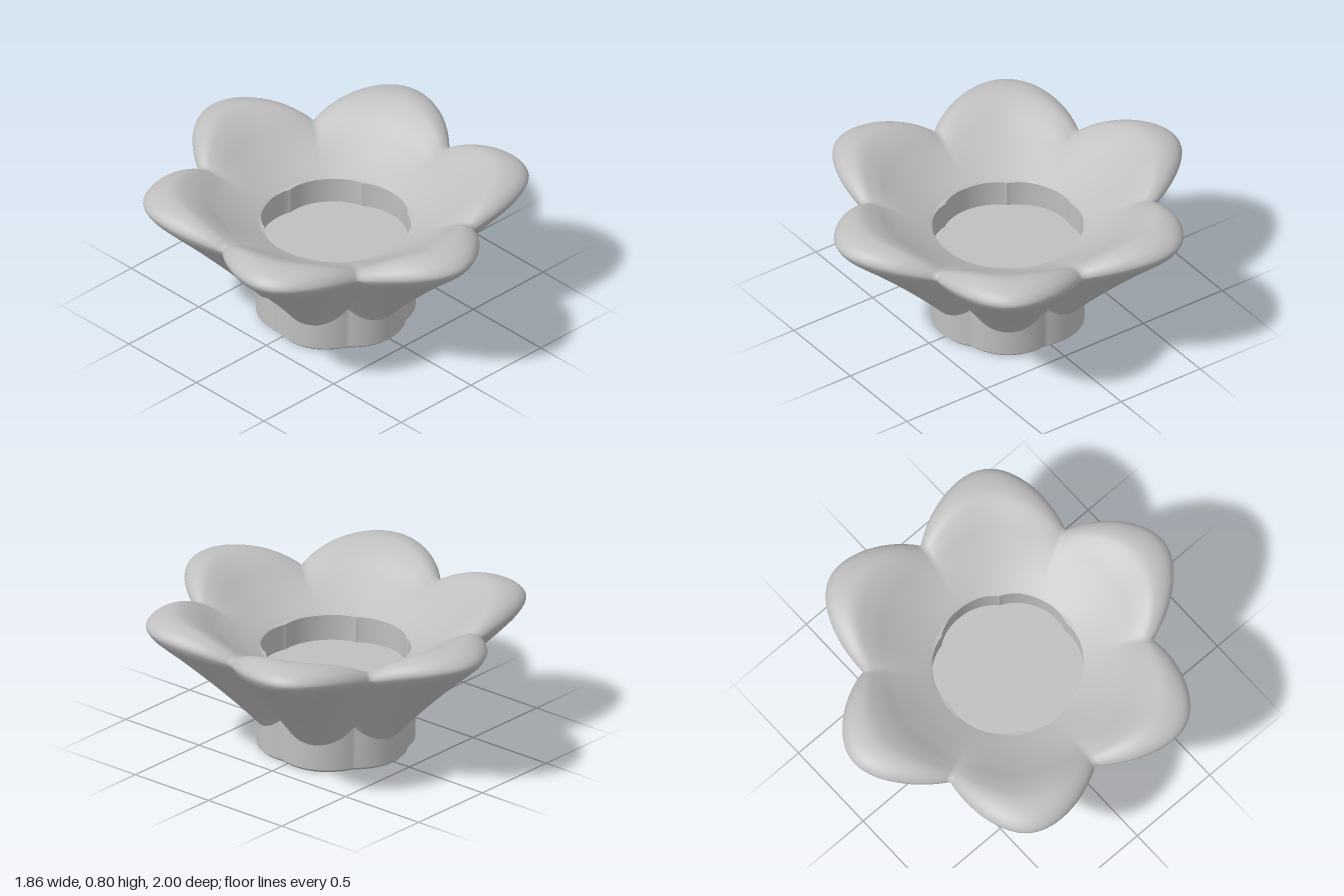
import * as THREE from 'three';
import { toCreasedNormals } from 'three/addons/utils/BufferGeometryUtils.js';

const PETALS = 6;
const STEPS = 216; // samples around the axis, a multiple of 12
const TIP = THREE.MathUtils.degToRad(95); // direction of one petal tip

// Closed loft around y: point(row, t) gives [radius, height],
// where t is 0 at a petal tip and 1 at the notch between two petals.
function loft(rows, point) {
  const pos = [], index = [];
  const sector = STEPS / PETALS;
  for (let i = 0; i < rows; i++) {
    for (let j = 0; j < STEPS; j++) {
      const k = j % sector;
      const t = Math.min(k, sector - k) / (sector / 2);
      const a = TIP + (j / STEPS) * Math.PI * 2;
      const [r, y] = point(i, t);
      pos.push(r * Math.cos(a), y, r * Math.sin(a));
    }
  }
  for (let i = 0; i < rows - 1; i++) {
    for (let j = 0; j < STEPS; j++) {
      const n = (j + 1) % STEPS;
      const a = i * STEPS + j, b = i * STEPS + n, c = a + STEPS, d = b + STEPS;
      index.push(a, c, b, b, c, d);
    }
  }
  const geo = new THREE.BufferGeometry();
  geo.setAttribute('position', new THREE.Float32BufferAttribute(pos, 3));
  geo.setIndex(index);
  geo.computeVertexNormals();
  return geo;
}

const curve = (pts) =>
  new THREE.CatmullRomCurve3(pts.map(([r, y]) => new THREE.Vector3(r, y, 0)));

// Rounded at the petal tip, nearly straight towards the notch
const ROUND = 0.35;
const bend = (t) => Math.hypot(t, ROUND) - ROUND;

export function createModel() {
  const group = new THREE.Group();
  const grey = new THREE.MeshStandardMaterial({ color: 0xbfbfbf });
  grey.name = 'light grey';
  const add = (name, geo) => {
    const mesh = new THREE.Mesh(geo, grey);
    mesh.name = name;
    group.add(mesh);
  };

  // Radial sections, from the foot up the outside, over the rim and inwards
  const tipSection = curve([
    [0.41, 0.15], [0.5, 0.245], [0.66, 0.402], [0.83, 0.557], [0.925, 0.638], [0.98, 0.69],
    [1.003, 0.735], [0.965, 0.777], [0.85, 0.8], [0.74, 0.757], [0.62, 0.676], [0.5, 0.6],
    [0.39, 0.54],
  ]);
  const notchSection = curve([
    [0.385, 0.245], [0.43, 0.29], [0.54, 0.41], [0.65, 0.53], [0.715, 0.605], [0.74, 0.635],
    [0.752, 0.658], [0.742, 0.676], [0.715, 0.684], [0.675, 0.676], [0.605, 0.648], [0.5, 0.597],
    [0.39, 0.54],
  ]);
  const ROWS = 73;
  const tip = [], notch = [];
  for (let i = 0; i < ROWS; i++) {
    tip.push(tipSection.getPoint(i / (ROWS - 1)));
    notch.push(notchSection.getPoint(i / (ROWS - 1)));
  }

  // Six joined petals: rounded lobes meeting in pointed notches
  add('petals', loft(ROWS, (i, t) => {
    const reach = 1 - bend(t) / bend(1);
    const lift = 1 - Math.pow(t, 2.3);
    return [
      THREE.MathUtils.lerp(notch[i].x, tip[i].x, reach),
      THREE.MathUtils.lerp(notch[i].y, tip[i].y, lift),
    ];
  }));

  // Well in the middle: lip, scalloped wall and flat floor
  add('well', toCreasedNormals(loft(4, (i, t) => {
    const r = 0.372 + 0.021 * Math.pow(Math.sin((t * Math.PI) / 2), 0.7);
    return [[0.396, 0.544], [r, 0.54], [r, 0.4], [0, 0.4]][i];
  }), 0.6));

  // Low scalloped foot with a small bevel at the bottom
  add('foot', toCreasedNormals(loft(4, (i, t) => {
    const r = 0.385 + 0.028 * Math.cos((t * Math.PI) / 2);
    return [[0, 0], [r - 0.015, 0], [r, 0.015], [r, 0.29]][i];
  }), 0.6));

  return group;
}
